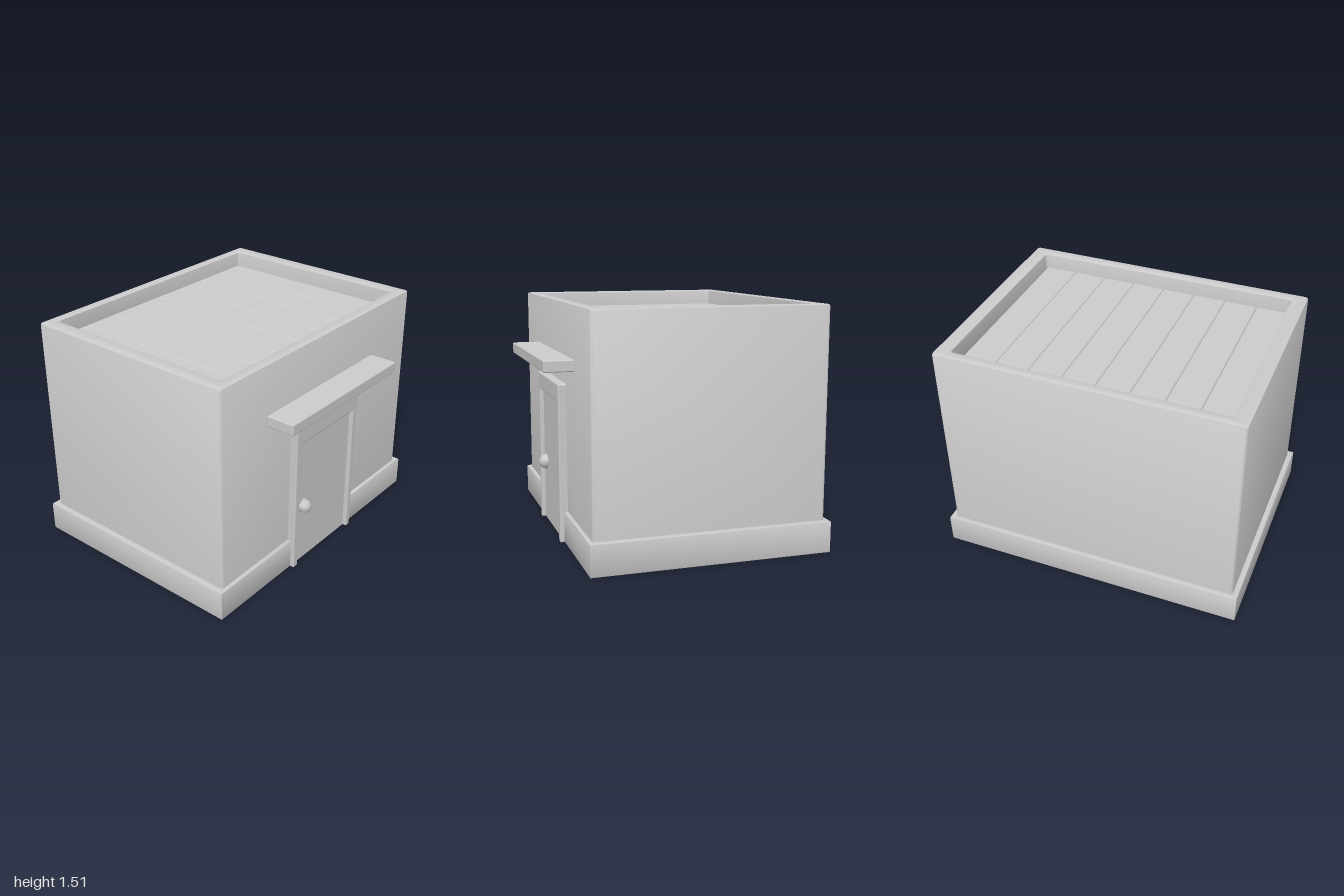
import * as THREE from 'three';
import { toCreasedNormals } from 'three/addons/utils/BufferGeometryUtils.js';
import { RoundedBoxGeometry } from 'three/addons/geometries/RoundedBoxGeometry.js';

const grey = new THREE.MeshStandardMaterial({ color: 0xcccccc, side: THREE.DoubleSide });
grey.name = 'plainGrey';

function add(group, name, geometry) {
  const mesh = new THREE.Mesh(geometry, grey);
  mesh.name = name;
  group.add(mesh);
  return mesh;
}

// Softened box given by its limits on each axis
function block(group, name, [x0, x1], [y0, y1], [z0, z1], r = 0.008) {
  const geo = new RoundedBoxGeometry(x1 - x0, y1 - y0, z1 - z0, 2, r);
  geo.translate((x0 + x1) / 2, (y0 + y1) / 2, (z0 + z1) / 2);
  return add(group, name, geo);
}

// Rounded rectangle in plan, at height y
function ring(hx, zBack, zFront, r, y) {
  const points = [];
  const corners = [[hx, zFront], [-hx, zFront], [-hx, zBack], [hx, zBack]];
  corners.forEach(([x, z], i) => {
    const cx = x - Math.sign(x) * r;
    const cz = i < 2 ? z - r : z + r;
    for (let k = 0; k <= 3; k++) {
      const a = (i + k / 3) * Math.PI / 2;
      points.push([cx + r * Math.cos(a), y, cz + r * Math.sin(a)]);
    }
  });
  return points;
}

// Skin joining consecutive rings
function loft(rings) {
  const pos = [];
  for (let j = 0; j < rings.length - 1; j++) {
    const n = rings[j].length;
    for (let i = 0; i < n; i++) {
      const k = (i + 1) % n;
      const a = rings[j][i], b = rings[j][k], c = rings[j + 1][k], d = rings[j + 1][i];
      pos.push(...a, ...d, ...c, ...a, ...c, ...b);
    }
  }
  const geo = new THREE.BufferGeometry();
  geo.setAttribute('position', new THREE.Float32BufferAttribute(pos, 3));
  return toCreasedNormals(geo, 0.6);
}

export function createModel() {
  const model = new THREE.Group();
  model.name = 'smallBuilding';

  // Thin outer walls, folding over a parapet and down to the roof; open below
  const outer = (y, inset = 0) => ring(0.965 - inset, -0.803 + inset, 0.65 - inset, 0.02, y);
  const inner = (y, inset = 0) => ring(0.868 + inset, -0.735 - inset, 0.572 + inset, 0.02, y);
  add(model, 'walls', loft([
    outer(0), outer(1.5), outer(1.507, 0.003), outer(1.51, 0.01),
    inner(1.51, 0.008), inner(1.507, 0.002), inner(1.5), inner(1.37),
  ]));

  // Roof planks running front to back
  const roof = new THREE.Group();
  roof.name = 'roof';
  model.add(roof);
  const step = 0.2155;
  for (let i = -4; i < 4; i++) {
    block(roof, 'roofPlank', [i * step, (i + 1) * step], [1.37, 1.41], [-0.74, 0.577], 0.01);
  }
  const underside = new THREE.PlaneGeometry(1.74, 1.31);
  underside.rotateX(Math.PI / 2).translate(0, 1.375, -0.0815);
  add(roof, 'roofUnderside', underside);

  // Plinth around the foot, interrupted by the doorway
  const b = 0.008;
  const plan = new THREE.Shape([
    [0.3, 0.675 - b], [1 - b, 0.675 - b], [1 - b, -0.83 + b], [-1 + b, -0.83 + b],
    [-1 + b, 0.675 - b], [-0.3, 0.675 - b], [-0.3, 0.648], [-0.963, 0.648],
    [-0.963, -0.801], [0.963, -0.801], [0.963, 0.648], [0.3, 0.648],
  ].map(([x, z]) => new THREE.Vector2(x, -z)));
  const plinth = new THREE.ExtrudeGeometry(plan, {
    depth: 0.2 - 2 * b, bevelEnabled: true, bevelSize: b, bevelThickness: b, bevelSegments: 2,
  });
  plinth.rotateX(-Math.PI / 2).translate(0, b, 0);
  add(model, 'plinth', toCreasedNormals(plinth, 0.6));

  // Door, frame and knob
  const doorway = new THREE.Group();
  doorway.name = 'doorway';
  model.add(doorway);
  for (const s of [-1, 1]) {
    const xs = [s * 0.28, s * 0.323].sort((p, q) => p - q);
    block(doorway, 'doorJamb', xs, [0, 1.0], [0.6, 0.702]);
  }
  block(doorway, 'doorLintel', [-0.323, 0.323], [0.895, 1.012], [0.6, 0.702], 0.012);
  block(doorway, 'door', [-0.285, 0.285], [0, 0.9], [0.61, 0.675], 0.004);
  const knob = new THREE.SphereGeometry(0.052, 6, 6);
  knob.rotateX(Math.PI / 2).rotateZ(Math.PI / 6).translate(-0.2, 0.41, 0.68);
  add(doorway, 'doorKnob', knob);

  // Flat canopy over the door
  block(model, 'canopy', [-0.55, 0.55], [1.115, 1.187], [0.62, 0.832]);

  return model;
}
